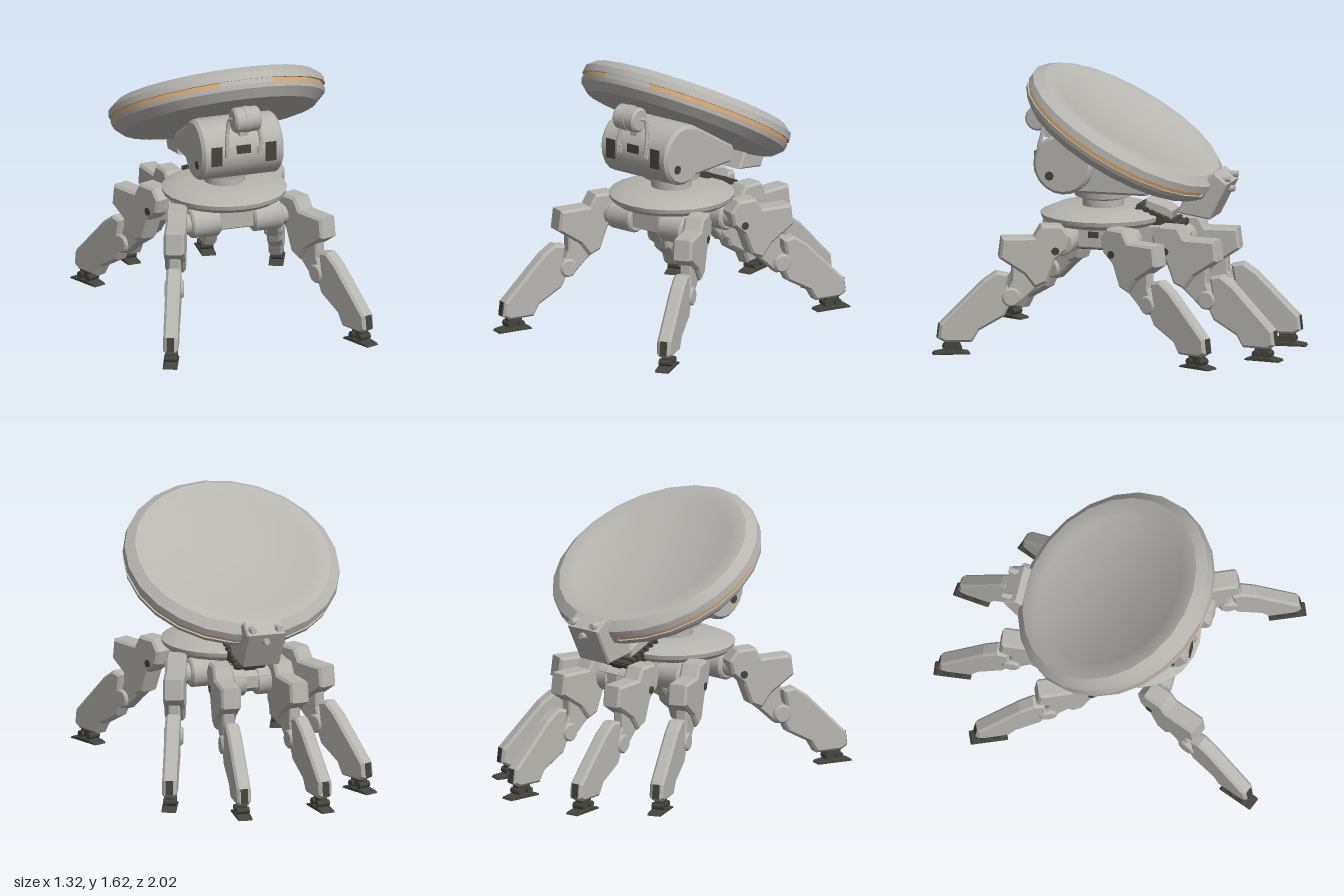
import * as THREE from 'three';
import { toCreasedNormals } from 'three/addons/utils/BufferGeometryUtils.js';

export function createModel() {
  const mat = (name, color) => {
    const m = new THREE.MeshStandardMaterial({ color });
    m.name = name;
    return m;
  };
  const grey = mat('warm grey metal', 0xb7b5b0);
  const dark = mat('dark metal', 0x45453d);
  const amber = mat('amber strip', 0xd6a56c);
  amber.side = THREE.DoubleSide;

  const model = new THREE.Group();
  const add = (parent, name, geo, material, x = 0, y = 0, z = 0) => {
    const mesh = new THREE.Mesh(geo, material);
    mesh.name = name;
    mesh.position.set(x, y, z);
    parent.add(mesh);
    return mesh;
  };
  const box = (w, h, d) => new THREE.BoxGeometry(w, h, d);
  const lathe = (pts, n) => toCreasedNormals(
    new THREE.LatheGeometry(pts.map(([r, y]) => new THREE.Vector2(r, y)), n), 0.5);
  // cylinder lying along x
  const rod = (r, len, n = 16) => new THREE.CylinderGeometry(r, r, len, n).rotateZ(Math.PI / 2);
  // chamfered drum lying along x
  const drum = (r, len, c, n) => lathe([[0, -len / 2], [r - c, -len / 2], [r, -len / 2 + c],
    [r, len / 2 - c], [r - c, len / 2], [0, len / 2]], n).rotateZ(-Math.PI / 2);
  // side profile of [z, y] points, extruded across x and chamfered
  const slab = (pts, width, bevel = 0.01) => {
    const shape = new THREE.Shape(pts.map(([z, y]) => new THREE.Vector2(z, y)));
    const depth = width - 2 * bevel;
    return new THREE.ExtrudeGeometry(shape, {
      depth, bevelEnabled: true, bevelSegments: 1, bevelThickness: bevel, bevelSize: bevel, bevelOffset: -bevel,
    }).translate(0, 0, -depth / 2).rotateY(-Math.PI / 2);
  };

  // Tilted dish with a grooved rim
  const dish = new THREE.Group();
  dish.name = 'dish';
  dish.position.set(0, 1.245, 0.035);
  dish.rotation.x = -Math.PI / 6;
  model.add(dish);
  add(dish, 'dishShell', lathe([[0, -0.09], [0.57, -0.09], [0.625, -0.04], [0.632, -0.014], [0.612, -0.014],
    [0.612, 0.014], [0.637, 0.014], [0.632, 0.055], [0.578, 0.097], [0.495, 0.097], [0.48, 0.09], [0, 0.09]], 24), grey);
  const arc = (r, h, start, len) => new THREE.CylinderGeometry(r, r, h, Math.round(len / 15), 1, true,
    THREE.MathUtils.degToRad(start), THREE.MathUtils.degToRad(len));
  add(dish, 'leftLightStrip', arc(0.622, 0.027, 15, 150), amber);
  add(dish, 'rightLightStrip', arc(0.622, 0.027, 195, 150), amber);
  add(dish, 'frontGrooveFiller', arc(0.631, 0.028, -15, 30), grey);
  add(dish, 'rearGrooveFiller', arc(0.631, 0.028, 165, 30), grey);

  // Sensor mount behind the dish
  add(model, 'rearMount', slab([[-0.32, 0.815], [-0.38, 0.93], [-0.44, 1.0], [-0.55, 1.065], [-0.63, 1.0],
    [-0.52, 0.785]], 0.235), grey);
  for (const [x, y, z] of [[-0.08, 1.025, -0.6], [0.08, 1.025, -0.6], [0, 0.955, -0.605]]) {
    const knob = add(model, 'mountKnob', new THREE.CylinderGeometry(0.018, 0.026, 0.07, 10), grey, x, y, z);
    knob.rotation.x = -Math.PI / 2 + 0.1;
  }

  // Upper body and front drum
  add(model, 'upperBody', slab([[0.34, 1.25], [0.18, 1.22], [-0.18, 1.01], [-0.195, 0.98], [-0.155, 0.915],
    [0.34, 0.91]], 0.38, 0.015), grey);
  add(model, 'frontDrum', drum(0.178, 0.5, 0.018, 20), grey, 0, 1.085, 0.335);
  for (const s of [-1, 1]) {
    add(model, 'drumBolt', rod(0.027, 0.012, 8), dark, s * 0.25, 1.016, 0.41);
    add(model, 'drumVent', box(0.066, 0.115, 0.008), dark, s * 0.165, 1.09, 0.514);
    // bracket holding the front sensor
    const path = new THREE.CatmullRomCurve3([[1.09, 0.525], [1.17, 0.515], [1.24, 0.5], [1.31, 0.505], [1.32, 0.54]]
      .map(([y, z], i) => new THREE.Vector3(s * [0.1, 0.105, 0.095, 0.085, 0.07][i], y, z)));
    add(model, 'sensorBracket', new THREE.TubeGeometry(path, 14, 0.012, 6), grey);
    add(model, 'bracketFoot', box(0.03, 0.05, 0.025), grey, s * 0.1, 1.105, 0.515);
  }
  add(model, 'centreVent', box(0.085, 0.05, 0.008), dark, 0, 1.12, 0.512);
  add(model, 'frontSensor', drum(0.073, 0.16, 0.012, 16), grey, 0, 1.315, 0.54);
  add(model, 'sensorBand', rod(0.077, 0.03, 16), grey, 0, 1.315, 0.54);
  add(model, 'sensorStem', box(0.05, 0.09, 0.05), grey, 0, 1.245, 0.485);

  // Turntable and neck
  add(model, 'turntable', lathe([[0, 0.72], [0.33, 0.725], [0.36, 0.75], [0.366, 0.775], [0.27, 0.817], [0.12, 0.817],
    [0.12, 0.86], [0.165, 0.875], [0.172, 0.92], [0, 0.92]], 24), grey, 0, 0, 0.16);

  // Chassis between the hips
  add(model, 'chassis', slab([[0.4, 0.73], [0.4, 0.6], [0.33, 0.57], [-0.3, 0.57], [-0.37, 0.61], [-0.37, 0.68],
    [-0.28, 0.73]], 0.21), grey);
  add(model, 'chassisUnderside', box(0.17, 0.008, 0.55), dark, 0, 0.567, 0.02);
  add(model, 'sideBlock', box(0.42, 0.13, 0.18), grey, 0, 0.67, 0.155);
  for (const s of [-1, 1]) {
    add(model, 'sideSlot', box(0.008, 0.036, 0.06), dark, s * 0.212, 0.675, 0.155);
    for (const [z, x0, x1] of [[0.34, 0.1, 0.28], [-0.03, 0.1, 0.28], [-0.295, 0.03, 0.12]]) {
      add(model, 'hipBarrel', drum(0.086, x1 - x0, 0.012, 16), grey, s * (x0 + x1) / 2, 0.635, z);
      add(model, 'hipAxle', rod(0.062, 0.09, 14), grey, s * (x1 + 0.03), 0.635, z);
    }
  }
  // Rear ribbed duct and cover
  const duct = new THREE.Group();
  duct.name = 'rearDuct';
  duct.position.set(0, 0.755, -0.19);
  duct.rotation.x = -0.4;
  model.add(duct);
  add(duct, 'ductCore', box(0.17, 0.075, 0.29), dark);
  for (let i = 0; i < 7; i++) add(duct, 'ductRib', box(0.19, 0.09, 0.02), dark, 0, 0, -0.126 + i * 0.042);
  add(model, 'ductCover', slab([[-0.12, 0.88], [-0.25, 0.84], [-0.285, 0.815], [-0.27, 0.765], [-0.11, 0.82]], 0.14), grey);

  // Legs: profiles run outward along local +z from the hip
  const thigh = slab([[0.31, 0.688], [0.12, 0.688], [0.08, 0.755], [-0.04, 0.755], [-0.088, 0.69], [-0.07, 0.61],
    [0, 0.55], [0.05, 0.42], [0.12, 0.39], [0.18, 0.47], [0.325, 0.567]], 0.12, 0.014);
  const strut = slab([[0.05, 0.43], [0.14, 0.355], [0.22, 0.28], [0.27, 0.275], [0.29, 0.34], [0.25, 0.43],
    [0.25, 0.56], [0.08, 0.56]], 0.07);
  const shin = slab([[0.27, 0.47], [0.34, 0.485], [0.42, 0.43], [0.67, 0.18], [0.68, 0.096], [0.64, 0.073],
    [0.48, 0.073], [0.44, 0.14], [0.295, 0.22], [0.25, 0.31], [0.285, 0.38]], 0.085, 0.014);
  const sole = slab([[0.49, 0], [0.71, 0], [0.7, 0.012], [0.64, 0.022], [0.56, 0.022], [0.5, 0.012]], 0.085, 0.003);

  const addLeg = (name, x, z, yaw) => {
    const leg = new THREE.Group();
    leg.name = name;
    leg.position.set(x, 0, z);
    leg.rotation.y = yaw;
    model.add(leg);
    add(leg, 'thigh', thigh, grey);
    add(leg, 'kneeStrut', strut, grey);
    add(leg, 'shin', shin, grey);
    add(leg, 'kneeJoint', drum(0.056, 0.11, 0.01, 12), grey, 0, 0.335, 0.255);
    add(leg, 'hipBolt', rod(0.024, 0.128, 8), dark, 0, 0.605, 0);
    const panel = add(leg, 'shinPanel', box(0.042, 0.085, 0.008), dark, 0, 0.138, 0.676);
    panel.rotation.x = -0.12;
    add(leg, 'footSole', sole, dark);
    add(leg, 'ankle', box(0.045, 0.05, 0.09), dark, 0, 0.048, 0.595);
    for (const dz of [-0.035, 0.035]) add(leg, 'ankleRoller', rod(0.021, 0.075, 10), dark, 0, 0.04, 0.595 + dz);
  };
  const yaw = 0.385;
  for (const s of [-1, 1]) {
    const side = s > 0 ? 'left' : 'right';
    addLeg(side + 'FrontLeg', s * 0.355, 0.347, s * yaw);
    addLeg(side + 'MiddleLeg', s * 0.355, -0.037, Math.PI - s * yaw);
    addLeg(side + 'RearLeg', s * 0.175, -0.293, Math.PI - s * 0.11);
  }
  return model;
}
